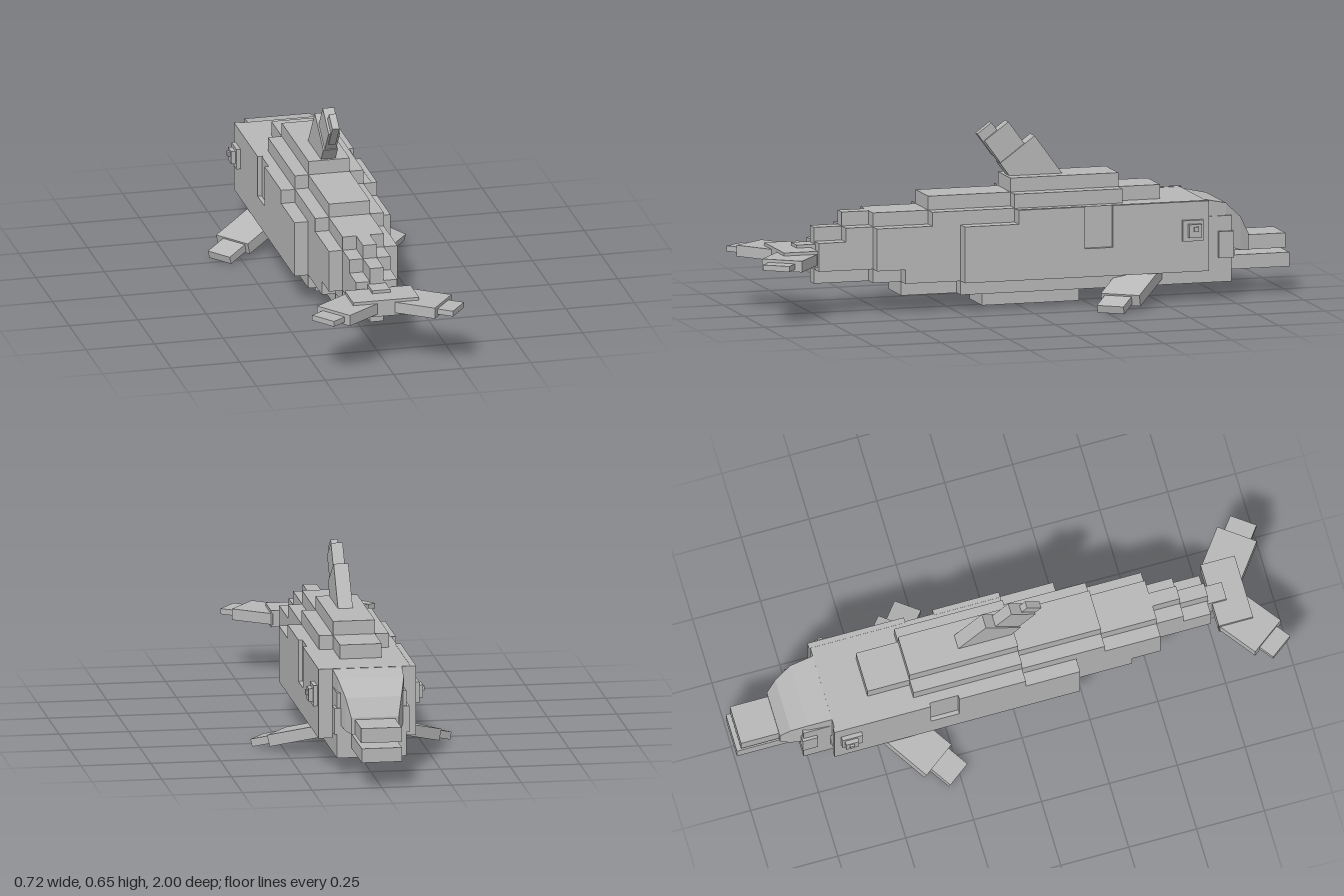
import * as THREE from 'three';

const grey = new THREE.MeshStandardMaterial({ color: 0xb8b8b8 });

export function createModel() {
  const model = new THREE.Group();
  model.name = 'dolphin';

  const add = (name, geometry, parent = model) => {
    const mesh = new THREE.Mesh(geometry, grey);
    mesh.name = name;
    parent.add(mesh);
    return mesh;
  };
  // axis-aligned block given by its limits
  const block = (name, x0, x1, y0, y1, z0, z1) => {
    const m = add(name, new THREE.BoxGeometry(x1 - x0, y1 - y0, z1 - z0));
    m.position.set((x0 + x1) / 2, (y0 + y1) / 2, (z0 + z1) / 2);
    return m;
  };
  // block centred on x = 0
  const slab = (name, half, y0, y1, z0, z1) => block(name, -half, half, y0, y1, z0, z1);
  // both sides, from inner to outer x
  const pair = (name, x0, x1, y0, y1, z0, z1) => {
    block(name + 'Left', x0, x1, y0, y1, z0, z1);
    block(name + 'Right', -x1, -x0, y0, y1, z0, z1);
  };

  // stepped trunk
  slab('topRidge', 0.075, 0.41, 0.465, -0.365, 0.035);
  slab('upperBackFront', 0.075, 0.36, 0.415, -0.52, -0.365);
  slab('upperBack', 0.125, 0.36, 0.415, -0.365, 0.035);
  slab('upperBackRear', 0.075, 0.36, 0.415, 0.035, 0.34);
  slab('trunkCore', 0.16, 0.113, 0.364, -0.665, 0.035);
  slab('lowerTrunk', 0.125, 0.063, 0.115, -0.67, 0.235);
  slab('bellyPlate', 0.075, 0.013, 0.065, -0.22, 0.14);

  // side walls with a shallow slot
  pair('wallFront', 0.155, 0.175, 0.113, 0.365, -0.67, -0.315);
  pair('wallBelowSlot', 0.155, 0.175, 0.113, 0.215, -0.315, -0.21);
  pair('wallMiddle', 0.155, 0.175, 0.113, 0.365, -0.21, 0.035);
  slab('trunkRear', 0.175, 0.113, 0.315, 0.035, 0.235);

  // tail stock, narrowing in steps
  slab('stockTop', 0.125, 0.31, 0.365, 0.035, 0.34);
  slab('stockTopRear', 0.075, 0.31, 0.365, 0.34, 0.545);
  slab('stockWide', 0.125, 0.163, 0.315, 0.235, 0.545);
  slab('stockLower', 0.125, 0.113, 0.17, 0.235, 0.44);
  slab('stockLowerRear', 0.075, 0.113, 0.17, 0.44, 0.545);
  slab('stockBottom', 0.075, 0.063, 0.115, 0.235, 0.44);
  slab('stockMiddle', 0.075, 0.163, 0.315, 0.545, 0.645);
  slab('stockNarrow', 0.075, 0.163, 0.265, 0.645, 0.745);
  slab('stockKeelTop', 0.025, 0.31, 0.365, 0.545, 0.645);
  slab('stockKeel', 0.025, 0.113, 0.315, 0.545, 0.748);
  slab('stockEnd', 0.033, 0.17, 0.256, 0.74, 0.815);

  // head, cheeks and beak
  slab('head', 0.125, 0.063, 0.3, -0.77, -0.67);
  pair('cheek', 0.1, 0.135, 0.15, 0.245, -0.775, -0.72);
  slab('upperBeak', 0.072, 0.165, 0.218, -0.985, -0.76);
  slab('lowerBeak', 0.072, 0.097, 0.148, -1, -0.76);
  slab('mouth', 0.06, 0.14, 0.17, -0.8, -0.76);

  // sloping forehead lofted through a few sections: [z, top, bottom, half width]
  const sections = [
    [-0.66, 0.364, 0.2, 0.125], [-0.75, 0.345, 0.19, 0.118],
    [-0.81, 0.29, 0.17, 0.1], [-0.845, 0.225, 0.165, 0.085],
  ];
  const corners = sections.map(([z, t, b, w]) => [[-w, b, z], [w, b, z], [w, t, z], [-w, t, z]]);
  const points = [];
  const quad = (a, b, c, d) => points.push(...a, ...b, ...c, ...a, ...c, ...d);
  for (let i = 0; i < corners.length - 1; i++) {
    for (let j = 0; j < 4; j++) {
      const k = (j + 1) % 4;
      quad(corners[i][j], corners[i + 1][j], corners[i + 1][k], corners[i][k]);
    }
  }
  const nose = corners[corners.length - 1];
  quad(nose[3], nose[2], nose[1], nose[0]);
  quad(...corners[0]);
  const forehead = new THREE.BufferGeometry();
  forehead.setAttribute('position', new THREE.Float32BufferAttribute(points, 3));
  forehead.computeVertexNormals();
  add('forehead', forehead);

  // stepped eyes
  pair('eyeSocket', 0.17, 0.19, 0.225, 0.3, -0.645, -0.57);
  pair('eye', 0.18, 0.205, 0.24, 0.287, -0.635, -0.588);
  pair('pupil', 0.2, 0.213, 0.262, 0.279, -0.622, -0.605);

  // dorsal fin: leaning blocks, placed by the centre of their top face
  const lean = 0.63;
  const finBlock = (name, width, length, depth, y, z) => {
    const m = add(name, new THREE.BoxGeometry(width, length, depth));
    m.rotation.x = lean;
    m.position.set(0, y - Math.cos(lean) * length / 2, z - Math.sin(lean) * length / 2);
  };
  finBlock('finBase', 0.053, 0.2, 0.158, 0.558, -0.006);
  finBlock('finMiddle', 0.042, 0.15, 0.11, 0.626, 0.07);
  finBlock('finTip', 0.026, 0.1, 0.065, 0.638, 0.112);

  // limbs: blocks swept back and down, placed by the centre of their outer end
  const yaw = Math.atan2(0.6, 0.8);
  const limb = (name, side, pitch, [length, height, depth], [x, y, z]) => {
    const m = add(name + (side > 0 ? 'Left' : 'Right'), new THREE.BoxGeometry(length, height, depth));
    m.rotation.order = 'YZX';
    m.rotation.set(0, side > 0 ? -yaw : yaw - Math.PI, -pitch);
    const h = length / 2;
    m.position.set(
      side * (x - Math.cos(pitch) * Math.cos(yaw) * h),
      y + Math.sin(pitch) * h,
      z - Math.cos(pitch) * Math.sin(yaw) * h,
    );
  };
  for (const side of [1, -1]) {
    limb('flipper', side, 0.27, [0.27, 0.042, 0.145], [0.265, 0.041, -0.315]);
    limb('flipperTip', side, 0.27, [0.14, 0.028, 0.1], [0.328, 0.018, -0.258]);
    limb('fluke', side, 0, [0.165, 0.04, 0.15], [0.2, 0.214, 0.92]);
    limb('flukeTip', side, 0, [0.1, 0.02, 0.1], [0.247, 0.213, 0.957]);
  }
  slab('flukeCentre', 0.12, 0.185, 0.245, 0.762, 0.888);

  return model;
}
